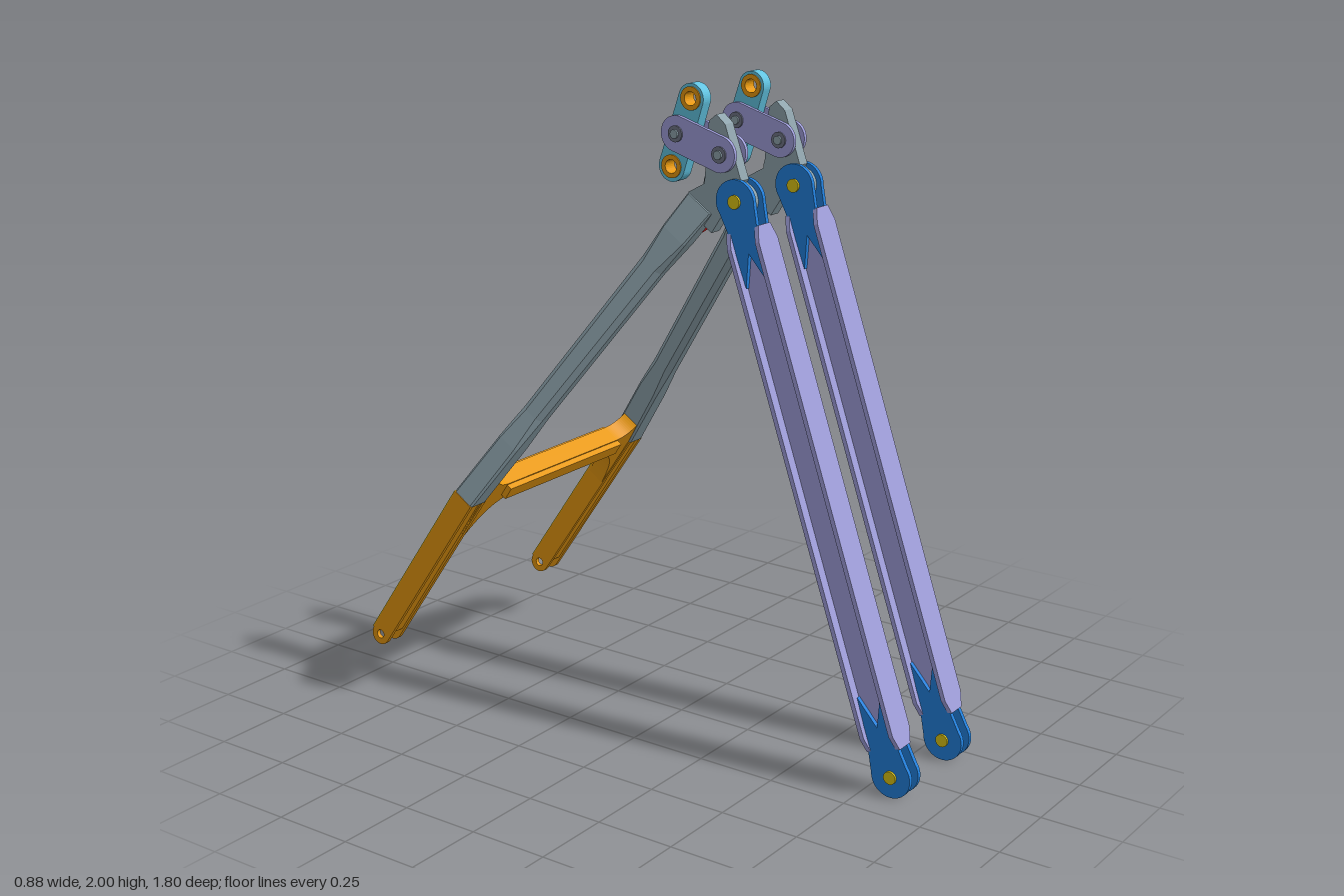
import * as THREE from 'three';

const mat = (name, color) => {
  const m = new THREE.MeshStandardMaterial({ color });
  m.name = name;
  return m;
};

export function createModel() {
  const lilac = mat('lilac', 0xa09fdc), blue = mat('blue', 0x2180dc), grey = mat('grey', 0x8fa4ad),
    red = mat('red', 0xdc2020), orange = mat('orange', 0xe8990f), yellow = mat('yellow', 0xdcc414),
    cyan = mat('cyan', 0x62c4e2), steel = mat('steel', 0x6f7486);

  const root = new THREE.Group();
  root.name = 'strutFrame';

  const add = (parent, name, geo, material, x = 0, y = 0, z = 0) => {
    const m = new THREE.Mesh(geo, material);
    m.name = name;
    m.position.set(x, y, z);
    parent.add(m);
    return m;
  };
  const group = (parent, name, x, y, z) => {
    const g = new THREE.Group();
    g.name = name;
    g.position.set(x, y, z);
    parent.add(g);
    return g;
  };
  const box = (w, h, d) => new THREE.BoxGeometry(w, h, d);
  // round pin lying along x
  const pin = (r, len) => new THREE.CylinderGeometry(r, r, len, 20).rotateZ(Math.PI / 2);
  // plate drawn in (z, y) and given a thickness along x
  const sidePlate = (shape, t) => new THREE.ExtrudeGeometry(shape, { depth: t, bevelEnabled: false, curveSegments: 12 })
    .translate(0, 0, -t / 2).rotateY(-Math.PI / 2);
  // plate drawn in (x, y) and given a thickness along z
  const frontPlate = (shape, t) => new THREE.ExtrudeGeometry(shape, { depth: t, bevelEnabled: false, curveSegments: 16 })
    .translate(0, 0, -t / 2);
  const poly = pts => new THREE.Shape(pts.map(p => new THREE.Vector2(p[0], p[1])));
  const hole = (shape, x, y, r) => {
    const p = new THREE.Path();
    p.absarc(x, y, r, 0, Math.PI * 2, true);
    shape.holes.push(p);
  };
  // rounded link outline joining two points
  const stadium = (a, b, ra, rb = ra) => {
    const ang = Math.atan2(b[1] - a[1], b[0] - a[0]);
    const s = new THREE.Shape();
    s.absarc(a[0], a[1], ra, ang + Math.PI / 2, ang + Math.PI * 1.5, false);
    s.absarc(b[0], b[1], rb, ang - Math.PI / 2, ang + Math.PI / 2, false);
    return s;
  };
  // tapered bar from octagonal sections; each station is [x, y, z, halfWidth, halfDepth, chamfer]
  const loft = stations => {
    const pos = [], idx = [];
    for (const [x, y, z, w, d, c] of stations) {
      const ring = [[c - w, d], [w - c, d], [w, d - c], [w, c - d], [w - c, -d], [c - w, -d], [-w, c - d], [-w, d - c]];
      ring.forEach(([a, b]) => pos.push(x + a, y, z + b));
    }
    const n = stations.length;
    for (let i = 0; i < n - 1; i++) for (let j = 0; j < 8; j++) {
      const a = i * 8 + j, b = i * 8 + (j + 1) % 8;
      idx.push(a, b, b + 8, a, b + 8, a + 8);
    }
    const top = (n - 1) * 8;
    for (let j = 1; j < 7; j++) idx.push(0, j + 1, j, top, top + j, top + j + 1);
    let g = new THREE.BufferGeometry();
    g.setAttribute('position', new THREE.Float32BufferAttribute(pos, 3));
    g.setIndex(idx);
    g = g.toNonIndexed();
    g.computeVertexNormals();
    return g;
  };

  // fork cheek: round eye running into a swallow tail
  const cheek = new THREE.Shape();
  cheek.absarc(0, 0, 0.064, Math.PI * 0.9, Math.PI * 2.1, false);
  [[0.044, 0.13], [0.04, 0.245], [0, 0.15], [-0.04, 0.245], [-0.044, 0.13]].forEach(p => cheek.lineTo(p[0], p[1]));
  const cheekGeo = sidePlate(cheek, 0.014);

  const strutLength = 1.708, lo = 0.08, hi = strutLength - 0.08;
  const flange = poly([[-0.03, lo], [0.03, lo], [0.048, lo + 0.045], [0.048, hi - 0.045], [0.03, hi], [-0.03, hi],
    [-0.048, hi - 0.045], [-0.048, lo + 0.045]]);

  // front struts: I-section with a fork at both ends
  for (const [side, x] of [['right', -0.112], ['left', 0.194]]) {
    const strut = group(root, side + 'Strut', x, 0.065, 0.84);
    strut.rotation.x = -Math.atan2(0.555, 1.615);
    add(strut, 'strutWeb', box(0.034, hi - lo - 0.04, 0.1), lilac, 0, strutLength / 2, 0);
    for (const s of [-1, 1]) {
      add(strut, 'strutFlange', frontPlate(flange, 0.014), lilac, 0, 0, s * 0.05);
      add(strut, 'lowerForkCheek', cheekGeo, blue, s * 0.024, 0, 0);
      add(strut, 'upperForkCheek', cheekGeo, blue, s * 0.024, strutLength, 0).rotation.z = Math.PI;
    }
    add(strut, 'lowerPin', pin(0.02, 0.076), yellow);
    add(strut, 'upperPin', pin(0.02, 0.076), yellow, 0, strutLength, 0);
  }

  // heads with links and rockers
  const strutPin = [0.285, 1.68], linkA = [0.235, 1.81], linkB = [0.085, 1.855];
  const eyeTop = [0.127, 1.957], eyeLow = [0.06, 1.757];
  const headShape = poly([[0.3, 1.74], [0.245, 1.895], [0.215, 1.92], [0.19, 1.9], [0.175, 1.72], [0.12, 1.69],
    [0.13, 1.63], [0.2, 1.58], [0.24, 1.64]]);
  const rocker = stadium(eyeLow, eyeTop, 0.045, 0.043);
  [eyeTop, eyeLow].forEach(p => hole(rocker, p[0], p[1], 0.03));
  const ring = new THREE.Shape();
  ring.absarc(0, 0, 0.034, 0, Math.PI * 2, false);
  hole(ring, 0, 0, 0.02);

  for (const [side, x] of [['right', -0.114], ['left', 0.192]]) {
    const head = group(root, side + 'Head', x, 0, 0);
    add(head, 'headBlock', sidePlate(headShape, 0.04), grey);
    add(head, 'strutLug', sidePlate(stadium(strutPin, [0.22, 1.72], 0.05), 0.033), grey);
    add(head, 'rocker', sidePlate(rocker, 0.038), cyan);
    for (const p of [eyeTop, eyeLow]) add(head, 'bushing', sidePlate(ring, 0.046), orange, 0, p[1], p[0]);
    for (const s of [-1, 1]) add(head, 'link', sidePlate(stadium(linkA, linkB, 0.052), 0.012), lilac, s * 0.028, 0, 0);
    for (const p of [linkA, linkB]) {
      add(head, 'linkBolt', pin(0.024, 0.078), steel, 0, p[1], p[0]);
      add(head, 'boltEnd', pin(0.013, 0.09), grey, 0, p[1], p[0]);
    }
  }

  // rear frame, with local y running up along the legs
  const rear = group(root, 'rearFrame', 0, 0.72, -0.51);
  rear.rotation.x = Math.atan2(0.36, 0.53);

  const legSide = new THREE.Shape();
  legSide.moveTo(0.036, 0);
  legSide.lineTo(-0.036, 0);
  legSide.lineTo(-0.036, -0.63);
  legSide.absarc(0, -0.63, 0.034, Math.PI, Math.PI * 2, false);
  hole(legSide, 0, -0.63, 0.014);

  for (const [side, top, knee] of [['right', -0.118, -0.394], ['left', 0.196, 0.405]]) {
    const at = t => [knee + (top - knee) * t, 1.155 * t, 0.026 * t];
    add(rear, side + 'UpperLeg', loft([
      [...at(0), 0.034, 0.038, 0.006], [...at(0.2), 0.034, 0.038, 0.008], [...at(0.3), 0.031, 0.037, 0.016],
      [...at(0.8), 0.028, 0.04, 0.016], [...at(0.9), 0.027, 0.046, 0.006], [...at(1), 0.022, 0.048, 0.004],
    ]), grey);

    // lower leg: open-ended channel with a yellow back
    const leg = group(rear, side + 'LowerLeg', knee, 0, 0);
    leg.rotation.z = -0.02;
    for (const s of [-1, 1]) add(leg, 'legCheek', sidePlate(legSide, 0.014), orange, s * 0.029, 0, 0);
    add(leg, 'legWeb', box(0.046, 0.6, 0.056), orange, 0, -0.3, 0);
    add(leg, 'legBack', box(0.046, 0.6, 0.006), yellow, 0, -0.3, -0.03);
    for (const s of [-1, 1]) add(leg, 'legBackEdge', box(0.014, 0.63, 0.003), yellow, s * 0.029, -0.315, -0.037);
  }

  // lower crossbar with wide fillets into the legs
  const bar = new THREE.Shape();
  bar.moveTo(-0.19, -0.02);
  bar.lineTo(0.2, -0.02);
  bar.bezierCurveTo(0.31, -0.02, 0.36, -0.08, 0.375, -0.28);
  bar.lineTo(0.385, 0);
  bar.lineTo(0.365, 0.1);
  bar.quadraticCurveTo(0.34, 0.045, 0.28, 0.042);
  bar.lineTo(-0.27, 0.042);
  bar.quadraticCurveTo(-0.33, 0.045, -0.355, 0.1);
  bar.lineTo(-0.375, 0);
  bar.lineTo(-0.375, -0.28);
  bar.bezierCurveTo(-0.35, -0.08, -0.3, -0.02, -0.19, -0.02);
  add(rear, 'lowerCrossbar', frontPlate(bar, 0.06), orange, 0, 0, 0.002);
  add(rear, 'crossbarRib', box(0.56, 0.045, 0.085), orange, 0.005, 0.015, 0.008);

  // upper crossbar, flared at both ends
  const spool = new THREE.Shape();
  spool.moveTo(-0.1, -0.045);
  spool.quadraticCurveTo(-0.07, -0.024, -0.03, -0.024);
  spool.lineTo(0.11, -0.024);
  spool.quadraticCurveTo(0.15, -0.024, 0.18, -0.045);
  spool.lineTo(0.18, 0.04);
  spool.quadraticCurveTo(0.15, 0.022, 0.11, 0.022);
  spool.lineTo(-0.03, 0.022);
  spool.quadraticCurveTo(-0.07, 0.022, -0.1, 0.04);
  add(rear, 'upperCrossbar', frontPlate(spool, 0.095), red, 0, 1.097, 0.011);

  return root;
}
